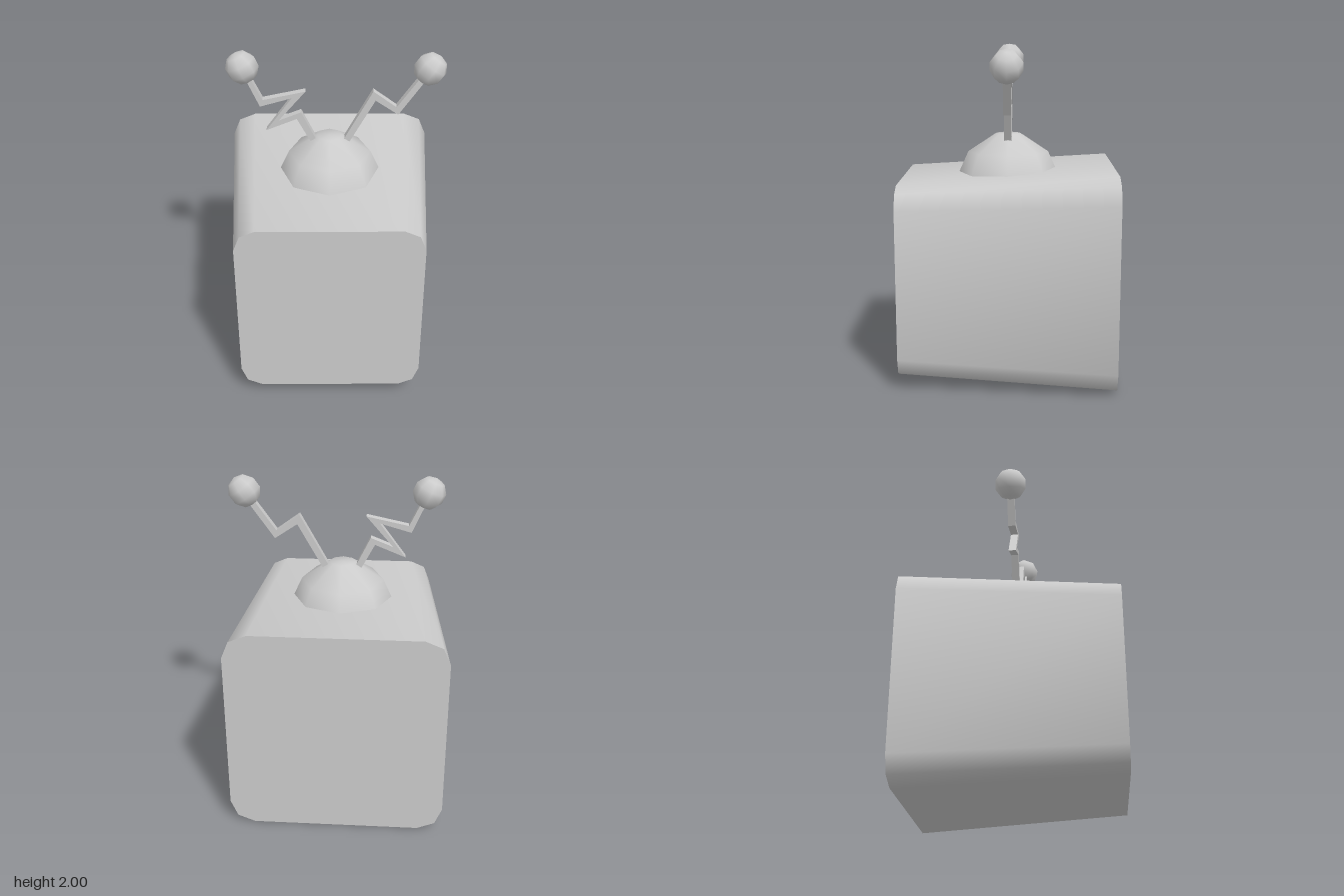
import * as THREE from 'three';
import { toCreasedNormals } from 'three/addons/utils/BufferGeometryUtils.js';

const material = new THREE.MeshStandardMaterial({ color: 0xcccccc });
const CX = -0.017;

function add(group, name, geometry, x = 0, y = 0, z = 0) {
  const mesh = new THREE.Mesh(geometry, material);
  mesh.name = name;
  mesh.position.set(x, y, z);
  group.add(mesh);
  return mesh;
}

// Square with two-step rounded corners, extruded and narrowed towards the front
function bodyGeometry() {
  const h = 0.638, r = 0.145, points = [];
  for (let corner = 0; corner < 4; corner++) {
    const sx = corner === 0 || corner === 3 ? 1 : -1;
    const sy = corner < 2 ? 1 : -1;
    for (let i = 0; i < 3; i++) {
      const a = (corner + i / 2) * Math.PI / 2;
      points.push(new THREE.Vector2(sx * (h - r) + r * Math.cos(a), sy * (h - r) + r * Math.sin(a)));
    }
  }
  const geo = new THREE.ExtrudeGeometry(new THREE.Shape(points), { depth: 1.28, bevelEnabled: false });
  geo.translate(0, 0, -0.64);
  const p = geo.attributes.position;
  for (let i = 0; i < p.count; i++) {
    if (p.getZ(i) > 0) p.setXY(i, p.getX(i) * 0.847, p.getY(i) * 0.897);
  }
  return toCreasedNormals(geo, 1.0);
}

// Flat zigzag strip given by its outline
function zigzagGeometry(outline) {
  const shape = new THREE.Shape(outline.map(([x, y]) => new THREE.Vector2(x, y)));
  const geo = new THREE.ExtrudeGeometry(shape, { depth: 0.045, bevelEnabled: false });
  return geo.translate(0, 0, -0.0225);
}

export function createModel() {
  const model = new THREE.Group();
  model.name = 'boxWithAntennae';

  add(model, 'body', bodyGeometry(), CX, 0.642, 0);

  // Low dome sitting on the lid
  const profile = [[0.302, 1.235], [0.245, 1.36], [0.075, 1.472], [0, 1.472]];
  add(model, 'dome', new THREE.LatheGeometry(profile.map(([x, y]) => new THREE.Vector2(x, y)), 8), CX);

  // Antennae: one with three kinks and a sharp return, one with two kinks
  const rightOutline = [
    [-0.09, 1.44], [-0.183, 1.632], [-0.315, 1.579], [-0.156, 1.765], [-0.405, 1.712], [-0.47, 1.85],
    [-0.5, 1.85], [-0.421, 1.67], [-0.236, 1.723], [-0.389, 1.515], [-0.209, 1.589], [-0.13, 1.44],
  ];
  const leftOutline = [
    [0.065, 1.45], [0.236, 1.765], [0.373, 1.664], [0.5, 1.845],
    [0.535, 1.835], [0.384, 1.616], [0.25, 1.707], [0.1, 1.435],
  ];
  const antennae = [
    { side: 'right', outline: rightOutline, ball: [-0.515, 1.908], tilt: 0.42 },
    { side: 'left', outline: leftOutline, ball: [0.558, 1.897], tilt: -0.62 },
  ];
  for (const { side, outline, ball, tilt } of antennae) {
    const antenna = new THREE.Group();
    antenna.name = side + 'Antenna';
    add(antenna, side + 'AntennaRod', zigzagGeometry(outline));
    const tip = add(antenna, side + 'AntennaBall', new THREE.SphereGeometry(0.097, 8, 5), ball[0], ball[1], 0);
    tip.rotation.z = tilt;
    model.add(antenna);
  }
  return model;
}
